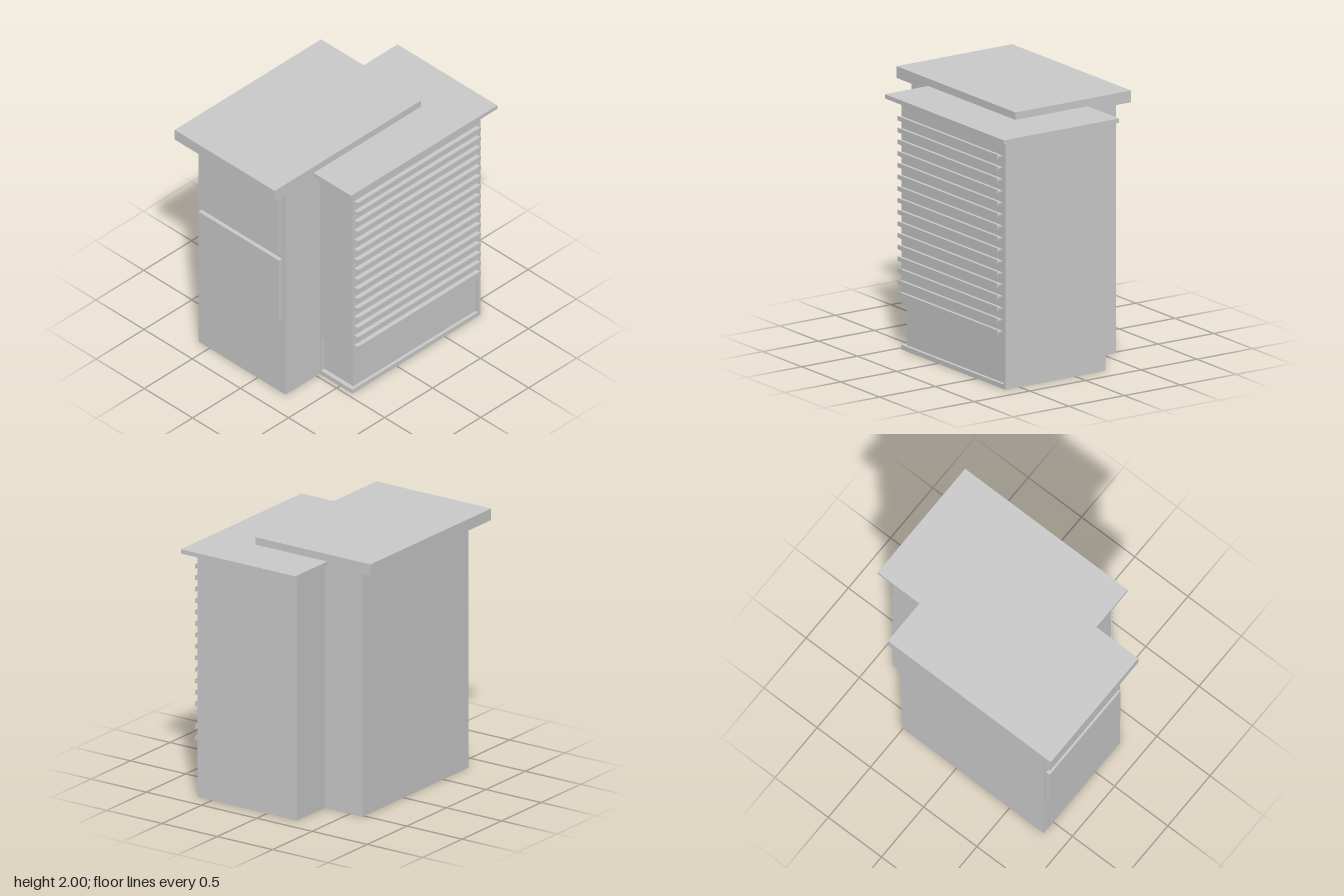
import * as THREE from 'three';

const material = new THREE.MeshStandardMaterial({ color: 0xcccccc, flatShading: true });

// Box given by its extents along each axis
function block(parent, name, [x0, x1], [y0, y1], [z0, z1]) {
  const mesh = new THREE.Mesh(new THREE.BoxGeometry(x1 - x0, y1 - y0, z1 - z0), material);
  mesh.position.set((x0 + x1) / 2, (y0 + y1) / 2, (z0 + z1) / 2);
  mesh.name = name;
  parent.add(mesh);
  return mesh;
}

function subgroup(parent, name) {
  const group = new THREE.Group();
  group.name = name;
  parent.add(group);
  return group;
}

export function createModel() {
  const model = new THREE.Group();
  model.name = 'building';

  // Front tower with its thick roof slab and two facade panels
  const tower = subgroup(model, 'frontTower');
  block(tower, 'towerWalls', [-0.613, 0.29], [0, 1.91], [-0.517, 0.82]);
  block(tower, 'towerRoof', [-0.715, 0.323], [1.91, 2], [-0.562, 0.967]);
  block(tower, 'upperPanel', [-0.577, 0.25], [1.323, 1.88], [0.82, 0.852]);
  block(tower, 'lowerPanel', [-0.582, 0.255], [0.678, 1.248], [0.82, 0.852]);

  // Rear wing: solid upper floors over a ground floor recessed at the corner
  const wing = subgroup(model, 'rearWing');
  block(wing, 'wingBase', [-0.272, 0.63], [0, 0.036], [-0.87, 0.465]);
  block(wing, 'wingCore', [-0.272, 0.605], [0.036, 0.345], [-0.87, 0.43]);
  block(wing, 'wingBackJamb', [0.605, 0.63], [0.036, 0.345], [-0.87, -0.845]);
  block(wing, 'wingFrontJamb', [0.28, 0.306], [0.036, 0.345], [0.43, 0.465]);
  block(wing, 'wingUpperFloors', [-0.272, 0.63], [0.345, 1.91], [-0.87, 0.465]);
  block(wing, 'wingRoof', [-0.325, 0.711], [1.91, 1.943], [-0.967, 0.56]);

  // Louvres: horizontal shelves, each ending in a narrow upright strip
  const louvres = subgroup(model, 'louvres');
  const count = 16;
  for (let i = 0; i < count; i++) {
    const y = 0.438 + (i * (1.78 - 0.438)) / (count - 1);
    const louvre = subgroup(louvres, 'louvre');
    block(louvre, 'louvreShelf', [0.63, 0.67], [y - 0.005, y + 0.005], [-0.833, 0.445]);
    block(louvre, 'louvreStrip', [0.67, 0.677], [y - 0.017, y + 0.017], [-0.833, 0.445]);
  }

  return model;
}
